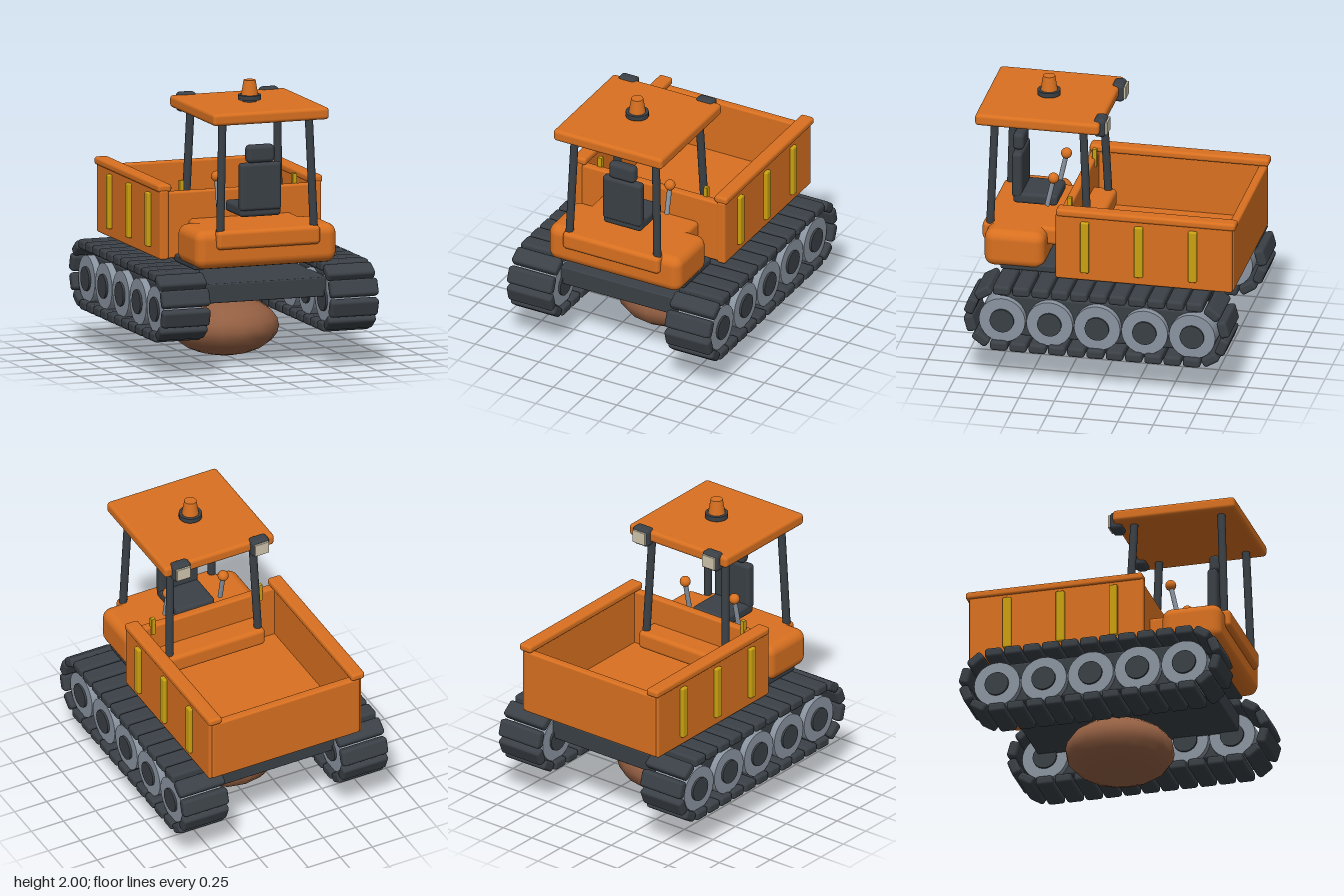
import * as THREE from 'three';
import { RoundedBoxGeometry } from 'three/addons/geometries/RoundedBoxGeometry.js';

const material = (name, color) => {
  const m = new THREE.MeshStandardMaterial({ color });
  m.name = name;
  return m;
};

export function createModel() {
  const orange = material('orange paint', 0xd87020);
  const dark = material('dark rubber', 0x3a4046);
  const steel = material('grey steel', 0x8a94a0);
  const yellow = material('yellow trim', 0xcca010);
  const stone = material('brown stone', 0x935f42);
  const glass = material('lamp glass', 0xcfc5ac);

  const model = new THREE.Group();
  model.name = 'trackedDumper';

  const add = (name, geometry, mat, x = 0, y = 0, z = 0, parent = model) => {
    const mesh = new THREE.Mesh(geometry, mat);
    mesh.name = name;
    mesh.position.set(x, y, z);
    parent.add(mesh);
    return mesh;
  };

  // Rounded box given by its [min, max] range on each axis
  const block = (name, mat, [x0, x1], [y0, y1], [z0, z1], r = 0.015) =>
    add(name, new RoundedBoxGeometry(x1 - x0, y1 - y0, z1 - z0, 3, r), mat,
      (x0 + x1) / 2, (y0 + y1) / 2, (z0 + z1) / 2);

  // Round bar between two points
  const bar = (name, mat, from, to, r) => {
    const a = new THREE.Vector3(...from), b = new THREE.Vector3(...to);
    const dir = b.clone().sub(a);
    const mesh = add(name, new THREE.CylinderGeometry(r, r, dir.length(), 16), mat);
    mesh.position.copy(a).add(b).multiplyScalar(0.5);
    mesh.quaternion.setFromUnitVectors(new THREE.Vector3(0, 1, 0), dir.normalize());
    return mesh;
  };

  // Boulder stand and its post
  const boulder = add('boulder', new THREE.SphereGeometry(0.38, 16, 12), stone, 0, 0.207, 0);
  boulder.scale.y = 0.207 / 0.38;
  bar('standPost', dark, [0, 0.3, 0], [0, 0.69, 0], 0.05);

  // Chassis between the tracks
  block('chassis', dark, [-0.5, 0.5], [0.49, 0.625], [-0.72, 0.72], 0.01);

  // Tracks: pads spaced evenly round a stadium-shaped path
  const half = 0.69, R = 0.21, midY = 0.49, count = 30;
  const straight = 2 * half, arc = Math.PI * R;
  const padGeo = new RoundedBoxGeometry(0.352, 0.07, 0.122, 2, 0.022);
  const wheelGeo = new THREE.CylinderGeometry(0.163, 0.163, 0.28, 28).rotateZ(Math.PI / 2);
  const hubGeo = new THREE.CylinderGeometry(0.085, 0.085, 0.31, 24).rotateZ(Math.PI / 2);

  for (const side of [-1, 1]) {
    const track = new THREE.Group();
    track.name = side > 0 ? 'leftTrack' : 'rightTrack';
    track.position.x = side * 0.62;
    model.add(track);

    for (let i = 0; i < count; i++) {
      const s = (i / count) * 2 * (straight + arc);
      const back = s >= straight + arc - 1e-6;
      const t = back ? Math.max(0, s - straight - arc) : s;
      const sign = back ? -1 : 1;
      const angle = Math.max(0, t - straight) / R;
      const z = sign * (Math.min(t, straight) - half + R * Math.sin(angle));
      const y = midY + sign * R * Math.cos(angle);
      const pad = add('trackPad', padGeo, dark, 0, y, z, track);
      pad.rotation.x = angle + (back ? Math.PI : 0);
    }
    for (let i = -2; i <= 2; i++) {
      add('roadWheel', wheelGeo, steel, 0, 0.466, i * 0.335, track);
      add('wheelHub', hubGeo, dark, 0, 0.466, i * 0.335, track);
    }
    add('trackFrame', new RoundedBoxGeometry(0.18, 0.3, 1.4, 3, 0.02), dark, 0, 0.487, 0, track);
  }

  // Dump bed: floor, end walls, side walls with rails and ribs
  block('bedFloor', orange, [-0.57, 0.57], [0.75, 0.82], [-0.9, 0.31]);
  block('bedFrontWall', orange, [-0.575, 0.575], [0.75, 1.215], [0.26, 0.32]);
  block('bedRearWall', orange, [-0.575, 0.575], [0.75, 1.215], [-0.925, -0.865]);
  for (const s of [-1, 1]) {
    const span = (a, b) => (s > 0 ? [a, b] : [-b, -a]);
    block('bedSideWall', orange, span(0.53, 0.595), [0.745, 1.23], [-0.915, 0.33]);
    block('bedRail', orange, span(0.505, 0.607), [1.215, 1.27], [-0.94, 0.325], 0.02);
    for (const z of [0.12, -0.26, -0.64])
      block('bedRib', yellow, span(0.58, 0.622), [0.81, 1.19], [z - 0.03, z + 0.03], 0.01);
    block('bedPin', yellow, span(0.4, 0.432), [1.15, 1.285], [0.25, 0.282], 0.004);
  }

  // Cab base
  block('cabUnderplate', dark, [-0.5, 0.5], [0.735, 0.79], [0.35, 0.74]);
  block('cabBody', orange, [-0.52, 0.52], [0.748, 1.02], [0.432, 0.857], 0.07);
  block('cabDeck', orange, [-0.38, 0.38], [0.888, 1.02], [0.1, 0.893], 0.03);

  // Seat, facing the bed
  block('seatCushion', dark, [-0.15, 0.15], [1.078, 1.158], [0.412, 0.725], 0.025);
  block('seatBack', dark, [-0.152, 0.152], [1.12, 1.455], [0.662, 0.735], 0.025);
  block('headrest', dark, [-0.102, 0.102], [1.455, 1.58], [0.66, 0.738], 0.03);

  // Levers, roof posts and lamps
  for (const s of [-1, 1]) {
    bar('lever', steel, [s * 0.215, 1.115, 0.468], [s * 0.215, 1.31, 0.425], 0.017);
    add('leverKnob', new THREE.SphereGeometry(0.038, 20, 14), orange, s * 0.215, 1.325, 0.423);
    bar('frontRoofPost', dark, [s * 0.345, 1.0, 0.842], [s * 0.318, 1.79, 0.813], 0.028);
    bar('rearRoofPost', dark, [s * 0.345, 1.0, 0.155], [s * 0.318, 1.79, 0.192], 0.028);
    const x = s * 0.305;
    block('lampHousing', dark, [x - 0.069, x + 0.069], [1.73, 1.866], [0.024, 0.112], 0.03);
    block('lampGlass', glass, [x - 0.054, x + 0.054], [1.752, 1.845], [0.012, 0.03], 0.004);
  }

  // Roof and beacon
  block('roof', orange, [-0.427, 0.427], [1.765, 1.85], [0.06, 0.935], 0.025);
  add('beaconBase', new THREE.CylinderGeometry(0.08, 0.08, 0.034, 28), dark, 0, 1.88, 0.5);
  add('beaconStem', new THREE.CylinderGeometry(0.05, 0.05, 0.03, 20), dark, 0, 1.855, 0.5);
  add('beacon', new THREE.CylinderGeometry(0.042, 0.06, 0.11, 24), orange, 0, 1.945, 0.5);

  return model;
}
